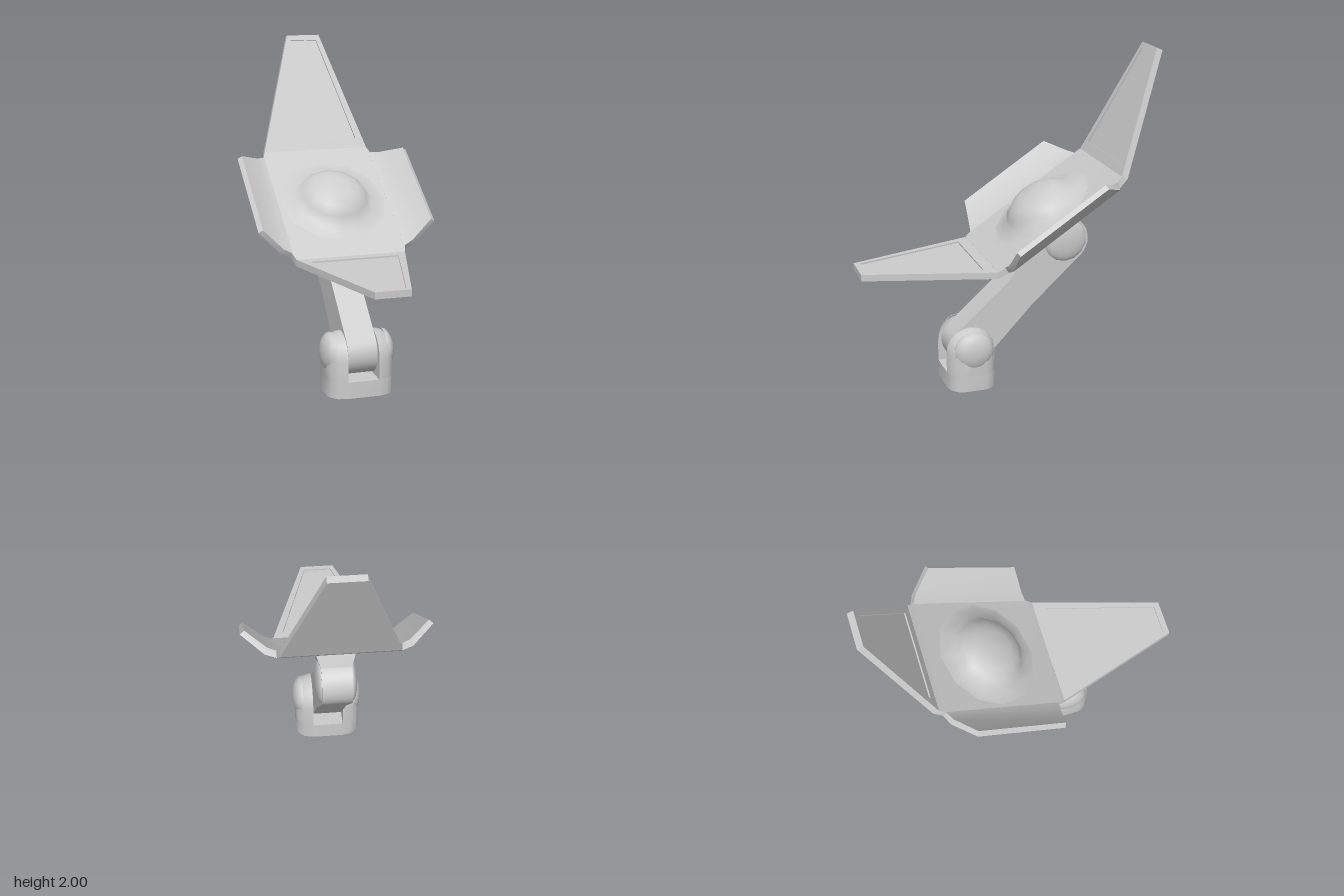
import * as THREE from 'three';
import { toCreasedNormals } from 'three/addons/utils/BufferGeometryUtils.js';

const grey = new THREE.MeshStandardMaterial({ color: 0xcccccc });
const greyDouble = new THREE.MeshStandardMaterial({ color: 0xcccccc, side: THREE.DoubleSide });

function add(parent, name, geometry, material = grey) {
  const mesh = new THREE.Mesh(geometry, material);
  mesh.name = name;
  parent.add(mesh);
  return mesh;
}

// Skin over rings of [x, y, z] points, faces turned outward
function loft(rings, startCap = true, endCap = true, crease = 0.6) {
  const n = rings[0].length, tris = [];
  for (let r = 0; r < rings.length - 1; r++) {
    for (let i = 0; i < n; i++) {
      const j = (i + 1) % n, a = rings[r], b = rings[r + 1];
      tris.push([a[i], a[j], b[j]], [a[i], b[j], b[i]]);
    }
  }
  const last = rings[rings.length - 1];
  for (let i = 1; i < n - 1; i++) {
    if (startCap) tris.push([rings[0][0], rings[0][i + 1], rings[0][i]]);
    if (endCap) tris.push([last[0], last[i], last[i + 1]]);
  }
  const centre = new THREE.Vector3();
  rings.flat().forEach(p => centre.add(new THREE.Vector3(...p)));
  centre.divideScalar(rings.length * n);
  let volume = 0;
  for (const t of tris) {
    const [a, b, c] = t.map(p => new THREE.Vector3(...p).sub(centre));
    volume += a.dot(b.cross(c));
  }
  if (volume < 0) tris.forEach(t => t.reverse());
  const g = new THREE.BufferGeometry();
  g.setAttribute('position', new THREE.Float32BufferAttribute(tris.flat(2), 3));
  return toCreasedNormals(g, crease);
}

// Point in the tilted frame of the plate: u runs up the slope, n off its face
const TILT = 0.582, COS = Math.cos(TILT), SIN = Math.sin(TILT);
const onPlate = (x, u, n) => [x, 1.015 + SIN * u + COS * n, -0.2325 - COS * u + SIN * n];

// Rectangle in the tilted frame
const plateRect = (w, u0, u1, n) =>
  [onPlate(-w, u0, n), onPlate(w, u0, n), onPlate(w, u1, n), onPlate(-w, u1, n)];

const trapezoid = (Type, w0, w1, s0, s1) =>
  new Type([[-w0, s0], [w0, s0], [w1, s1], [-w1, s1]].map(p => new THREE.Vector2(...p)));

// Tapered flap with a shallow recessed panel, from root to tip on its underside
function flap(name, root, tip, facing) {
  const group = new THREE.Group();
  group.name = name;
  const along = tip.clone().sub(root), length = along.length();
  along.normalize();
  const normal = facing.clone().addScaledVector(along, -facing.dot(along)).normalize();
  const across = along.clone().cross(normal);
  group.applyMatrix4(new THREE.Matrix4().makeBasis(across, along, normal).setPosition(root));
  const outline = trapezoid(THREE.Shape, 0.335, 0.105, 0, length);
  const options = depth => ({ depth, bevelEnabled: false });
  add(group, name + 'Panel', new THREE.ExtrudeGeometry(outline, options(0.031)));
  const rim = trapezoid(THREE.Shape, 0.335, 0.105, 0, length);
  rim.holes.push(trapezoid(THREE.Path, 0.27, 0.085, 0.065, length - 0.035));
  add(group, name + 'Rim', new THREE.ExtrudeGeometry(rim, options(0.009))).position.z = 0.031;
  return group;
}

// Shallow dome facing sideways
function sideDome(parent, name, side, x, y, z, radius, height) {
  const g = new THREE.SphereGeometry(radius, 14, 5, 0, Math.PI * 2, 0, Math.PI / 2);
  g.scale(1, height / radius, 1);
  g.rotateZ(-side * Math.PI / 2);
  add(parent, name, g).position.set(side * x, y, z);
}

export function createModel() {
  const model = new THREE.Group();

  // Hollow foot
  const quarter = [[0.095, 0.15], [0.15, 0.137], [0.185, 0.105], [0.2, 0.07]];
  const half = [...quarter, ...quarter.map(([x, z]) => [x, -z]).reverse()];
  const outline = [...half, ...half.map(([x, z]) => [-x, -z])];
  const footRing = y => outline.map(([x, z]) => [x, y, z + 0.27]);
  add(model, 'foot', loft([footRing(0), footRing(0.1)], false, true), greyDouble);

  for (const side of [1, -1]) {
    // Round-topped cheeks either side of the slot
    const rings = quarter.map(([x, w]) => {
      const ring = [[side * x, 0.1, 0.27 + w]];
      for (let i = 0; i <= 10; i++) {
        const a = Math.PI * i / 10;
        ring.push([side * x, 0.222 + w * Math.sin(a), 0.27 + w * Math.cos(a)]);
      }
      ring.push([side * x, 0.1, 0.27 - w]);
      return ring;
    });
    add(model, 'cheek', loft(rings, true, true, 0.8));
    sideDome(model, 'lowerPivotCap', side, 0.155, 0.242, 0.268, 0.125, 0.066);
    sideDome(model, 'upperPivotCap', side, 0.088, 0.86, -0.335, 0.135, 0.037);
  }

  // Arm with round ends and a slight bend
  const arm = new THREE.Shape();
  const rad = THREE.MathUtils.degToRad;
  arm.moveTo(0.27 + 0.13 * Math.cos(rad(-136)), 0.24 + 0.13 * Math.sin(rad(-136)));
  arm.absarc(0.27, 0.24, 0.13, rad(-136), rad(44), false);
  arm.lineTo(0.03, 0.63);
  arm.absarc(-0.335, 0.86, 0.145, rad(44), rad(224), false);
  arm.lineTo(-0.12, 0.465);
  arm.closePath();
  const armGeometry = new THREE.ExtrudeGeometry(arm, { depth: 0.18, bevelEnabled: false, curveSegments: 8 });
  armGeometry.translate(0, 0, -0.09);
  armGeometry.rotateY(-Math.PI / 2);
  add(model, 'arm', toCreasedNormals(armGeometry, 0.6));

  // Flared bracket under the plate
  add(model, 'bracket', loft([
    plateRect(0.085, -0.12, 0.1, -0.17),
    plateRect(0.09, -0.135, 0.12, -0.105),
    plateRect(0.125, -0.205, 0.14, 0.005),
  ], true, true, 0.2));

  // Central plate with its bends: half width, lower z and y, upper z and y
  const bends = [
    [0.335, 0.17, 0.755, 0.17, 0.795],
    [0.35, 0.11, 0.79, 0.132, 0.823],
    [0.35, -0.575, 1.24, -0.553, 1.273],
    [0.335, -0.625, 1.285, -0.588, 1.301],
  ];
  add(model, 'plate', loft(bends.map(([w, z0, y0, z1, y1]) =>
    [[-w, y0, z0], [w, y0, z0], [w, y1, z1], [-w, y1, z1]])));

  // Upturned side wings: half length, lower x and n, upper x and n
  const wing = [
    [0.41, 0.345, 0, 0.345, 0.04],
    [0.387, 0.415, 0.022, 0.4, 0.06],
    [0.315, 0.545, 0.135, 0.52, 0.156],
  ];
  for (const side of [1, -1]) {
    add(model, 'sideWing', loft(wing.map(([u, x0, n0, x1, n1]) => [
      onPlate(side * x0, -u, n0), onPlate(side * x0, u, n0),
      onPlate(side * x1, u, n1), onPlate(side * x1, -u, n1),
    ])));
  }

  // Front and rear flaps
  const v = (y, z) => new THREE.Vector3(0, y, z);
  model.add(flap('frontFlap', v(0.755, 0.17), v(0.747, 0.925), v(1, 0)));
  model.add(flap('rearFlap', v(1.285, -0.625), v(1.984, -0.925), v(0, 1)));

  // Dome with a flared skirt
  const profile = [[0.33, 0], [0.24, 0.015], [0.205, 0.065], [0.15, 0.105], [0.085, 0.126], [0, 0.13]];
  const dome = add(model, 'dome', new THREE.LatheGeometry(profile.map(p => new THREE.Vector2(...p)), 12));
  dome.position.set(...onPlate(0, 0, 0.04));
  dome.rotation.x = TILT;

  return model;
}
